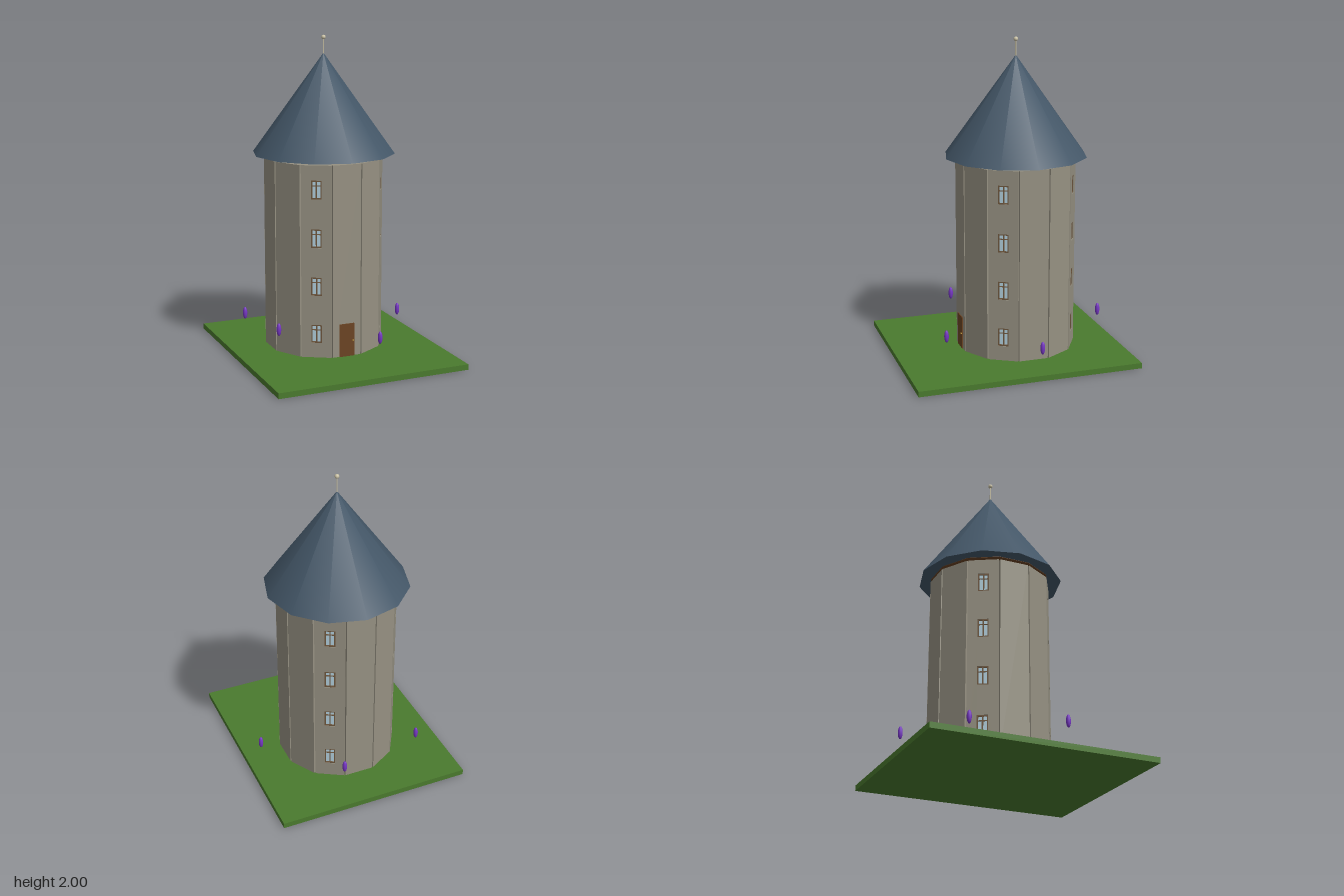
import * as THREE from 'three';

const paint = (name, color) => {
  const m = new THREE.MeshStandardMaterial({ color });
  m.name = name;
  return m;
};

export function createModel() {
  const stone = paint('stone', 0x969182);
  const slate = paint('slate', 0x445768);
  const grass = paint('grass', 0x4a7a2e);
  const timber = paint('timber', 0x6b4423);
  const frameMat = paint('window frame', 0x70583f);
  const glass = paint('glass', 0xb4d2e0);
  const brass = paint('brass', 0xc9a040);
  const violet = paint('violet', 0x7636c4);
  const pale = paint('pale metal', 0xc8c0a4);

  const model = new THREE.Group();
  model.name = 'tower';
  const add = (parent, name, geo, mat, x = 0, y = 0, z = 0) => {
    const mesh = new THREE.Mesh(geo, mat);
    mesh.name = name;
    mesh.position.set(x, y, z);
    parent.add(mesh);
    return mesh;
  };
  const box = (w, h, d) => new THREE.BoxGeometry(w, h, d);

  // Lawn slab
  add(model, 'lawn', box(1.24, 0.035, 1.42), grass, 0, 0.0175, 0);

  const tower = new THREE.Group();
  tower.name = 'towerBody';
  tower.position.z = -0.09;
  model.add(tower);

  const base = 0.035, top = 1.245, storey = (top - base) / 4;
  const inner = 0.345, depth = 0.02, halfWidth = 0.0935;
  const winW = 0.066, winH = 0.116;
  const windowYs = [0, 1, 2, 3].map((i) => base + storey * (i + 0.5));

  // Twelve-sided core behind the wall panels
  const coreR = inner / Math.cos(Math.PI / 12) + 0.004;
  add(tower, 'core', new THREE.CylinderGeometry(coreR, coreR, top - base, 12, 1, false, Math.PI / 12)
    .toNonIndexed(), stone, 0, (top + base) / 2, 0).geometry.computeVertexNormals();

  // Wall panel, optionally pierced by window openings
  const panelGeometry = (pierced) => {
    const s = new THREE.Shape();
    s.moveTo(-halfWidth, base).lineTo(halfWidth, base).lineTo(halfWidth, top).lineTo(-halfWidth, top).closePath();
    if (pierced) {
      for (const y of windowYs) {
        const h = new THREE.Path();
        const a = winW / 2, b = winH / 2;
        h.moveTo(-a, y - b).lineTo(-a, y + b).lineTo(a, y + b).lineTo(a, y - b).closePath();
        s.holes.push(h);
      }
    }
    return new THREE.ExtrudeGeometry(s, { depth, bevelEnabled: false });
  };
  const plainPanel = panelGeometry(false);
  const piercedPanel = panelGeometry(true);

  // Recessed two-light window with a transom
  const addWindow = (parent, y) => {
    const win = new THREE.Group();
    win.name = 'window';
    win.position.set(0, y, inner);
    parent.add(win);
    const t = 0.008;
    add(win, 'pane', box(winW, winH, 0.004), glass, 0, 0, 0.007);
    for (const s of [-1, 1]) {
      add(win, 'frameSide', box(t, winH, 0.01), frameMat, s * (winW - t) / 2, 0, 0.011);
      add(win, 'frameRail', box(winW, t, 0.01), frameMat, 0, s * (winH - t) / 2, 0.011);
    }
    add(win, 'mullion', box(0.008, winH, 0.009), frameMat, 0, 0, 0.011);
    add(win, 'transom', box(winW, 0.005, 0.008), frameMat, 0, 0.025, 0.011);
  };

  // Ring of walls; every third one carries windows
  for (let i = 0; i < 12; i++) {
    const side = new THREE.Group();
    side.name = 'wallSide';
    side.rotation.y = (i * Math.PI) / 6;
    tower.add(side);
    const pierced = i % 3 === 2;
    add(side, 'wallPanel', pierced ? piercedPanel : plainPanel, stone, 0, 0, inner);
    if (pierced) windowYs.forEach((y) => addWindow(side, y));
  }

  // Front door with knob
  add(tower, 'door', box(0.1, 0.21, 0.008), timber, 0, base + 0.105, 0.367);
  add(tower, 'doorKnob', new THREE.SphereGeometry(0.005, 10, 8), brass, 0.04, 0.135, 0.374);

  // Roof floating just above the walls, with a timber ceiling and a finial
  add(tower, 'roof', new THREE.ConeGeometry(0.45, 0.625, 12), slate, 0, 1.5775, 0);
  add(tower, 'ceiling', new THREE.CylinderGeometry(0.375, 0.375, 0.004, 12, 1, false, Math.PI / 12), timber, 0, 1.265, 0);
  add(tower, 'finialRod', new THREE.CylinderGeometry(0.004, 0.004, 0.1, 8), pale, 0, 1.93, 0);
  add(tower, 'finialBall', new THREE.SphereGeometry(0.014, 16, 12), pale, 0, 1.986, 0);

  // Five floating violet lights circling the tower
  const light = new THREE.SphereGeometry(0.0145, 16, 12).scale(1, 2.8, 1);
  [0.175, 0.175, 0.245, 0.175, 0.245].forEach((y, i) => {
    const a = (i * Math.PI * 2) / 5;
    add(tower, 'floatingLight', light, violet, 0.53 * Math.cos(a), y, 0.53 * Math.sin(a));
  });

  return model;
}
